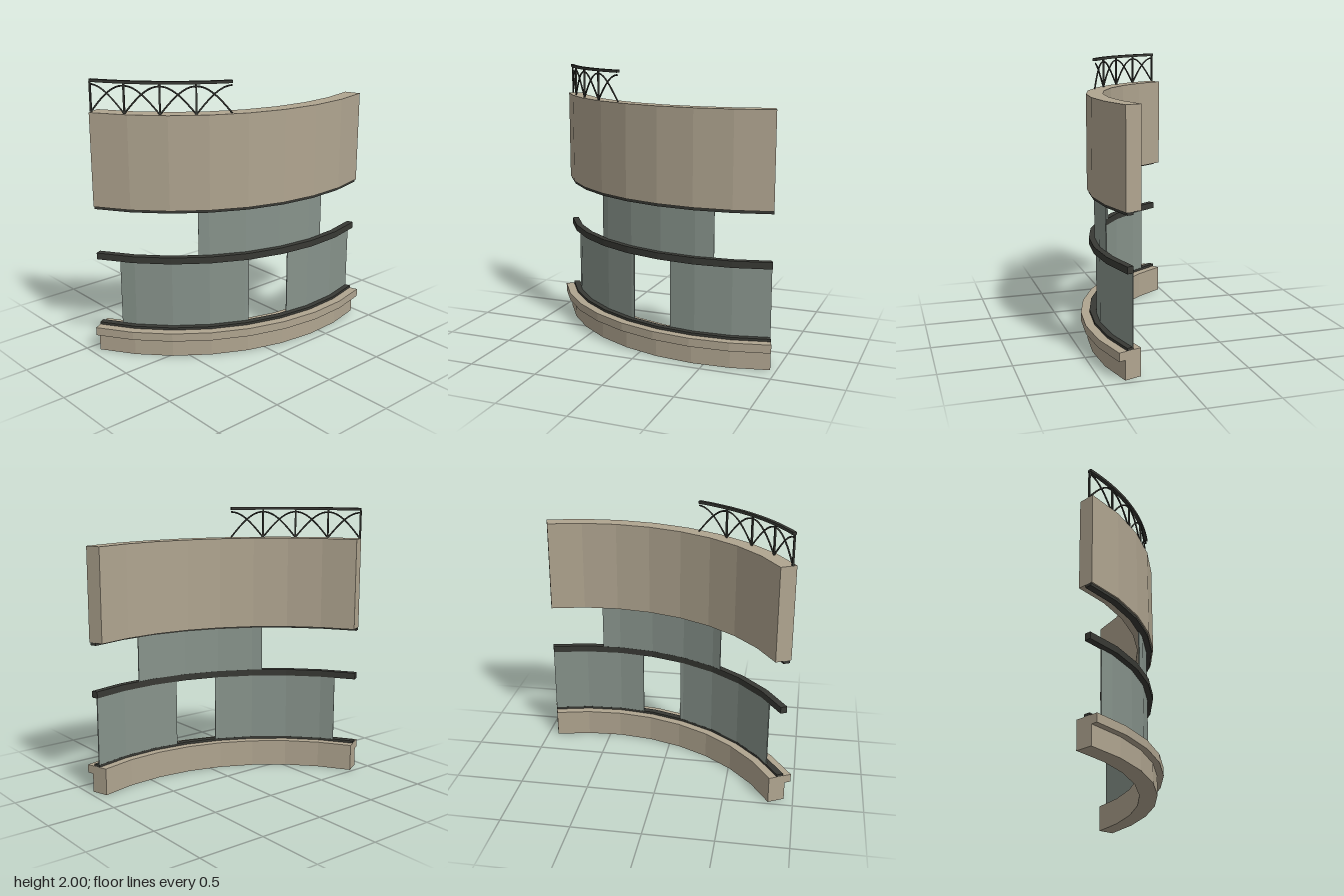
import * as THREE from 'three';

// Everything follows one arc around a vertical axis; angles in degrees from +z
const CX = 0.47, CZ = -1.167;
const START = -62, END = 17.9, STEP = (END - START) / 8;

const stone = new THREE.MeshStandardMaterial({ color: 0xb0a590 });
stone.name = 'stone';
const glass = new THREE.MeshStandardMaterial({ color: 0x87938b });
glass.name = 'greyGreenGlass';
const metal = new THREE.MeshStandardMaterial({ color: 0x383934 });
metal.name = 'darkMetal';

function onArc(deg, r) {
  const a = THREE.MathUtils.degToRad(deg);
  return new THREE.Vector2(CX + r * Math.sin(a), CZ + r * Math.cos(a));
}

// Point on the faceted arc, so partial panels share the facets of the full wall
function onFacets(deg, r, step) {
  const i = Math.floor((deg - START) / step + 1e-6);
  const t = (deg - START) / step - i;
  return onArc(START + i * step, r).lerp(onArc(START + (i + 1) * step, r), t);
}

// Curved slab between two radii, two heights and two angles
function slab(name, material, r0, r1, y0, y1, from = START, to = END, step = STEP) {
  const angles = [from];
  for (let a = START; a < to - 0.01; a += step) if (a > from + 0.01) angles.push(a);
  angles.push(to);
  const outline = [
    ...angles.map((a) => onFacets(a, r1, step)),
    ...angles.slice().reverse().map((a) => onFacets(a, r0, step)),
  ].map((p) => new THREE.Vector2(p.x, -p.y));
  const geometry = new THREE.ExtrudeGeometry(new THREE.Shape(outline), {
    depth: y1 - y0, bevelEnabled: false,
  });
  geometry.rotateX(-Math.PI / 2);
  geometry.translate(0, y0, 0);
  const mesh = new THREE.Mesh(geometry, material);
  mesh.name = name;
  return mesh;
}

// Balcony railing: posts, interlaced half arches and a handrail
function createRailing() {
  const railing = new THREE.Group();
  railing.name = 'railing';
  const R = 1.553, BAY = 9, BAYS = 4, BASE = 1.775, TOP = 1.98;
  railing.add(slab('handrail', metal, R - 0.013, R + 0.013, TOP, 2.0, START, START + BAY * BAYS, 1.5));

  for (let i = 0; i < BAYS; i++) {
    const a0 = START + i * BAY;
    const p = onArc(a0, R);
    const post = new THREE.Mesh(new THREE.BoxGeometry(0.012, TOP - BASE, 0.012), metal);
    post.name = 'railingPost';
    post.position.set(p.x, (TOP + BASE) / 2, p.y);
    post.rotation.y = THREE.MathUtils.degToRad(a0);
    railing.add(post);

    for (const rising of [false, true]) {
      const points = [];
      for (let k = 0; k <= 8; k++) {
        const t = k / 8;
        const q = onArc(a0 + BAY * (rising ? 1 - t : t), R);
        points.push(new THREE.Vector3(q.x, BASE + 0.19 * Math.cos(t * Math.PI / 2), q.y));
      }
      const curve = new THREE.CatmullRomCurve3(points);
      const arch = new THREE.Mesh(new THREE.TubeGeometry(curve, 16, 0.006, 6), metal);
      arch.name = 'railingArch';
      railing.add(arch);
    }
  }
  return railing;
}

export function createModel() {
  const model = new THREE.Group();
  model.name = 'curvedFacade';
  model.add(
    // Stone base with projecting ledge, and the upper wall
    slab('base', stone, 1.467, 1.592, 0, 0.137),
    slab('baseLedge', stone, 1.467, 1.638, 0.137, 0.197),
    slab('upperWall', stone, 1.468, 1.585, 1.105, 1.775),
    // Window frame bands
    slab('lowerFrame', metal, 1.527, 1.575, 0.197, 0.215),
    slab('middleFrame', metal, 1.527, 1.575, 0.707, 0.755),
    slab('upperFrame', metal, 1.527, 1.575, 1.085, 1.105),
    // Glazing
    slab('lowerGlassRight', glass, 1.528, 1.535, 0.215, 0.707, -56.1, -21.1),
    slab('lowerGlassLeft', glass, 1.528, 1.535, 0.215, 0.707, -9.2, END),
    slab('upperGlass', glass, 1.528, 1.535, 0.755, 1.085, -34.9, 3),
    createRailing(),
  );
  return model;
}
